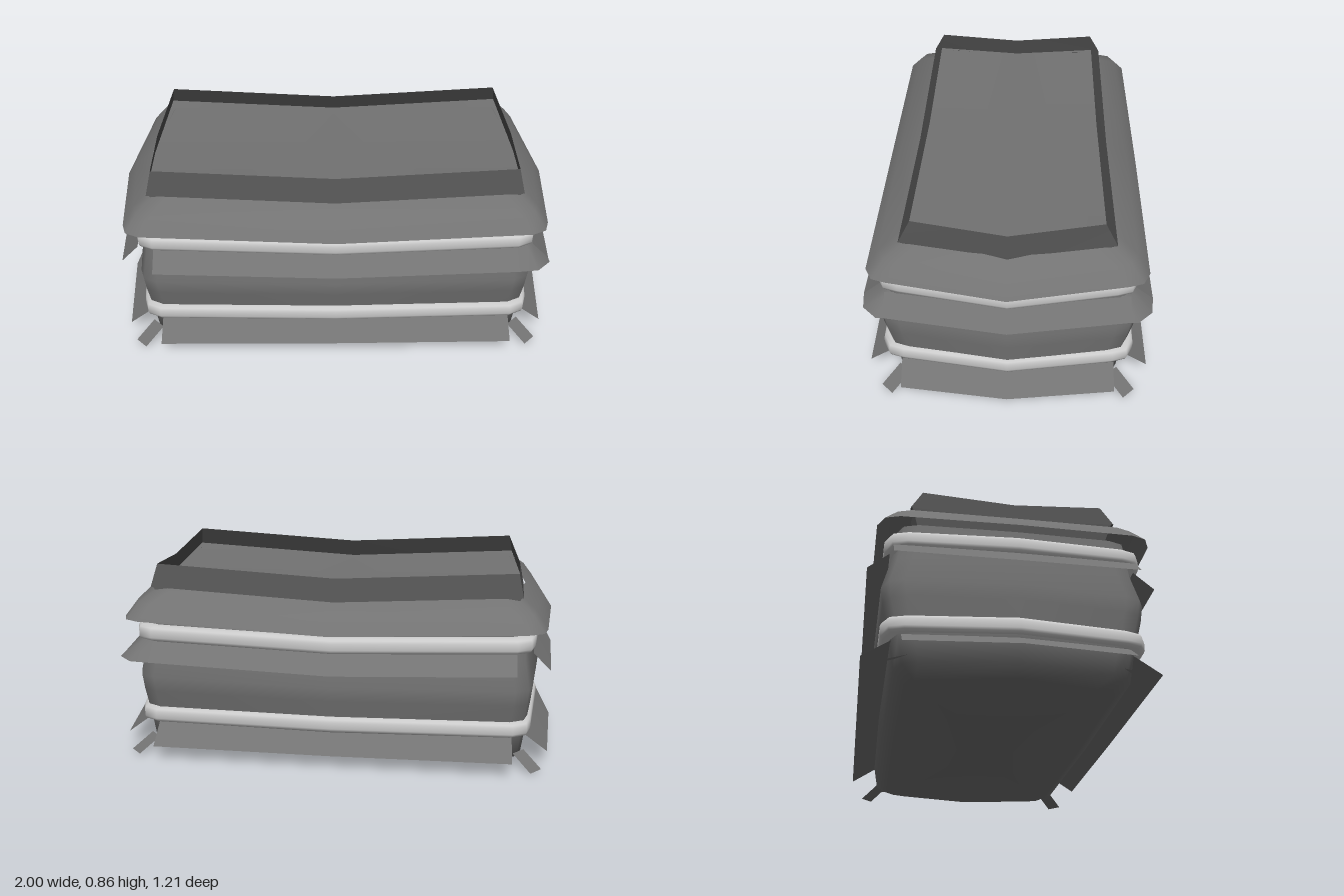
import * as THREE from 'three';
import { toCreasedNormals } from 'three/addons/utils/BufferGeometryUtils.js';

const paint = (color) => new THREE.MeshStandardMaterial({ color, side: THREE.DoubleSide });
const dark = paint(0x727272);
const darker = paint(0x505050);
const light = paint(0xcccccc);

// Closed outline: X and Z reach to the middles of the sides, which sag below the corners.
function outline([X, Z, y, sag], sharp = false) {
  const corner = sharp
    ? [[X - 0.03, Z]]
    : [[X - 0.14, Z - 0.01], [X - 0.08, Z - 0.04], [X - 0.06, Z - 0.1]];
  const low = y - sag;
  const half = [
    [0, low, Z],
    ...corner.map(([x, z]) => [x, y, z]),
    [X, low, 0],
    ...corner.slice().reverse().map(([x, z]) => [x, y, -z]),
  ];
  return [...half, ...half.map(([x, h, z]) => [-x, h, -z])];
}

// Skin between rows of points, listed from bottom to top.
function loft(rows, { closed = true, wrap = false, caps = false, crease = 0.7 } = {}) {
  const n = rows[0].length;
  const points = rows.flat();
  const index = [];
  const last = wrap ? rows.length : rows.length - 1;
  for (let r = 0; r < last; r++) {
    const up = (r + 1) % rows.length;
    for (let i = 0; i < (closed ? n : n - 1); i++) {
      const j = (i + 1) % n;
      const a = r * n + i, b = r * n + j, c = up * n + j, d = up * n + i;
      index.push(a, b, c, a, c, d);
    }
  }
  if (caps) {
    const top = (rows.length - 1) * n;
    const bottomCentre = points.push([0, rows[0][0][1], 0]) - 1;
    const topCentre = points.push([0, points[top][1] - 0.005, 0]) - 1;
    for (let i = 0; i < n; i++) {
      const j = (i + 1) % n;
      index.push(bottomCentre, j, i, topCentre, top + i, top + j);
    }
  }
  const geometry = new THREE.BufferGeometry();
  geometry.setAttribute('position', new THREE.Float32BufferAttribute(points.flat(), 3));
  geometry.setIndex(index);
  return toCreasedNormals(geometry, crease);
}

export function createModel() {
  const model = new THREE.Group();
  model.name = 'trunk';
  const add = (name, geometry, material = dark) => {
    const mesh = new THREE.Mesh(geometry, material);
    mesh.name = name;
    model.add(mesh);
  };

  // Bulging body with softly rounded corners
  const bodyRows = [
    [0.83, 0.43, 0, 0], [0.9, 0.485, 0.04, 0], [0.91, 0.505, 0.16, 0.005],
    [0.925, 0.54, 0.31, 0.01], [0.93, 0.55, 0.38, 0.015], [0.91, 0.52, 0.5, 0.025],
    [0.9, 0.5, 0.66, 0.035],
  ];
  add('body', loft(bodyRows.map((r) => outline(r)), { caps: true, crease: 1.2 }));

  // Sunken top panel filling the rim from corner to corner
  const topRows = [[0.8, 0.4, 0.69, 0.04], [0.837, 0.428, 0.772, 0.045]];
  add('topPanel', loft(topRows.map((r) => outline(r, true)), { caps: true }));

  // Sloping cover with a flared lower edge
  const coverRows = [[0.975, 0.58, 0.645, 0.035], [0.93, 0.53, 0.71, 0.04], [0.85, 0.43, 0.765, 0.045]];
  add('cover', loft(coverRows.map((r) => outline(r)), { crease: 1 }));

  // Thin rim with sharp corners, leaning inwards
  const rimRows = [[0.84, 0.435, 0.765, 0.045], [0.82, 0.385, 0.858, 0.045]];
  add('topRim', loft(rimRows.map((r) => outline(r, true)), { crease: 0.3 }), darker);

  // Two light bands around the body, flat outside with rounded edges
  const profile = [[-0.015, -0.035], [0.01, -0.034], [0.02, -0.027], [0.024, -0.015],
    [0.024, 0.015], [0.02, 0.027], [0.01, 0.034], [-0.015, 0.035]];
  const band = (name, X, Z, y, sag) => {
    const rows = profile.map(([out, up]) => outline([X + out, Z + out, y + up, sag]));
    add(name, loft(rows, { wrap: true, crease: 1.2 }), light);
  };
  band('upperBand', 0.907, 0.522, 0.577, 0.025);
  band('lowerBand', 0.907, 0.522, 0.195, 0.008);

  // Flaps on the four sides, each bent at its middle
  const flaps = (name, inner, outer, endReach) => {
    for (const s of [1, -1]) {
      const front = ([, Z, y, sag]) => [-0.79, 0, 0.79].map((x) => [x * s, y - (x ? 0 : sag), Z * s]);
      const end = ([X, , y, sag]) =>
        [endReach, 0, -endReach].map((z) => [(X - (z ? 0.05 : 0)) * s, y - (z ? 0 : sag), z * s]);
      add(name + (s > 0 ? 'Front' : 'Back'), loft([front(outer), front(inner)], { closed: false }));
      add(name + (s > 0 ? 'Left' : 'Right'), loft([end(outer), end(inner)], { closed: false }));
    }
  };
  const upperInner = [0.91, 0.51, 0.545, 0.025], upperOuter = [0.985, 0.6, 0.47, 0.03];
  flaps('upperFlap', upperInner, upperOuter, 0.5);
  flaps('lowerFlap', [0.9, 0.49, 0.15, 0.005], [1, 0.605, 0.075, 0.005], 0.455);

  // Upper flap carried around the two left corners
  for (const s of [1, -1]) {
    const turn = ([X, Z, y], cut) => {
      const row = [[0.79, y, Z * s], [X - cut - 0.05, y, (Z - 0.01) * s],
        [X - 0.05, y, (Z - cut - 0.01) * s], [X - 0.05, y, 0.46 * s]];
      return s > 0 ? row : row.reverse();
    };
    add('upperCornerFlap', loft([turn(upperOuter, 0.06), turn(upperInner, 0.03)], { closed: false }));
  }

  // Small foot flap at each bottom corner
  for (const sx of [1, -1]) {
    for (const sz of [1, -1]) {
      const row = (x, z, y) => {
        const pair = [[(x - 0.05) * sx, y, z * sz], [x * sx, y, (z - 0.05) * sz]];
        return sx * sz > 0 ? pair : pair.reverse();
      };
      add('cornerFoot', loft([row(0.925, 0.55, 0.008), row(0.85, 0.475, 0.065)], { closed: false }));
    }
  }
  return model;
}
